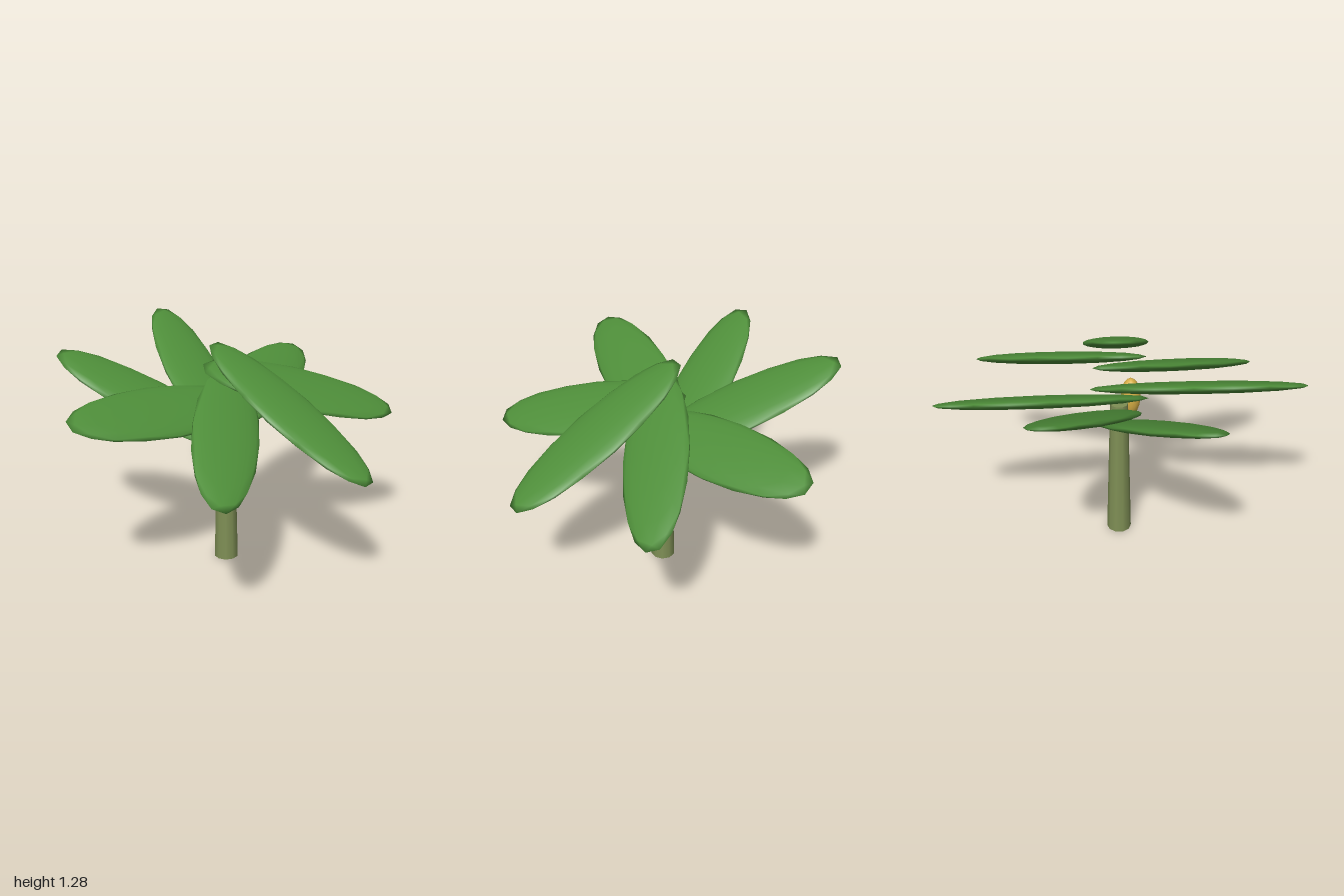
import * as THREE from 'three';

export function createModel() {
  const model = new THREE.Group();
  const mat = (name, color) => {
    const m = new THREE.MeshStandardMaterial({ color });
    m.name = name;
    return m;
  };
  const leafGreen = mat('leaf green', 0x4f8f3a);
  const trunkOlive = mat('trunk olive', 0x7f8f55);
  const fruitYellow = mat('fruit yellow', 0xd9b045);

  // Everything is arranged round the trunk's axis
  const plant = new THREE.Group();
  plant.name = 'plant';
  plant.position.x = -0.045;
  model.add(plant);

  const add = (name, geometry, material, x, y, z) => {
    const mesh = new THREE.Mesh(geometry, material);
    mesh.name = name;
    mesh.position.set(x, y, z);
    plant.add(mesh);
    return mesh;
  };

  // Tapered trunk
  add('trunk', new THREE.CylinderGeometry(0.05, 0.07, 0.85, 10), trunkOlive, 0, 0.425, 0);

  // Seven flat leaves at two alternating heights, each turned outwards
  // and then all tipped the same way
  const blob = new THREE.IcosahedronGeometry(1, 2);
  const count = 7;
  for (let i = 0; i < count; i++) {
    const a = (i / count) * Math.PI * 2;
    const y = i % 2 ? 0.93 : 0.995;
    const leaf = add('leaf' + (i + 1), blob, leafGreen, Math.cos(a) * 0.43, y, Math.sin(a) * 0.43);
    leaf.scale.set(0.6, 0.035, 0.19);
    leaf.rotation.set(0, -a, -0.5, 'ZYX');
  }

  // Hanging fruit
  add('fruit', blob, fruitYellow, 0.1, 0.83, 0.07).scale.set(0.056, 0.118, 0.056);

  return model;
}
